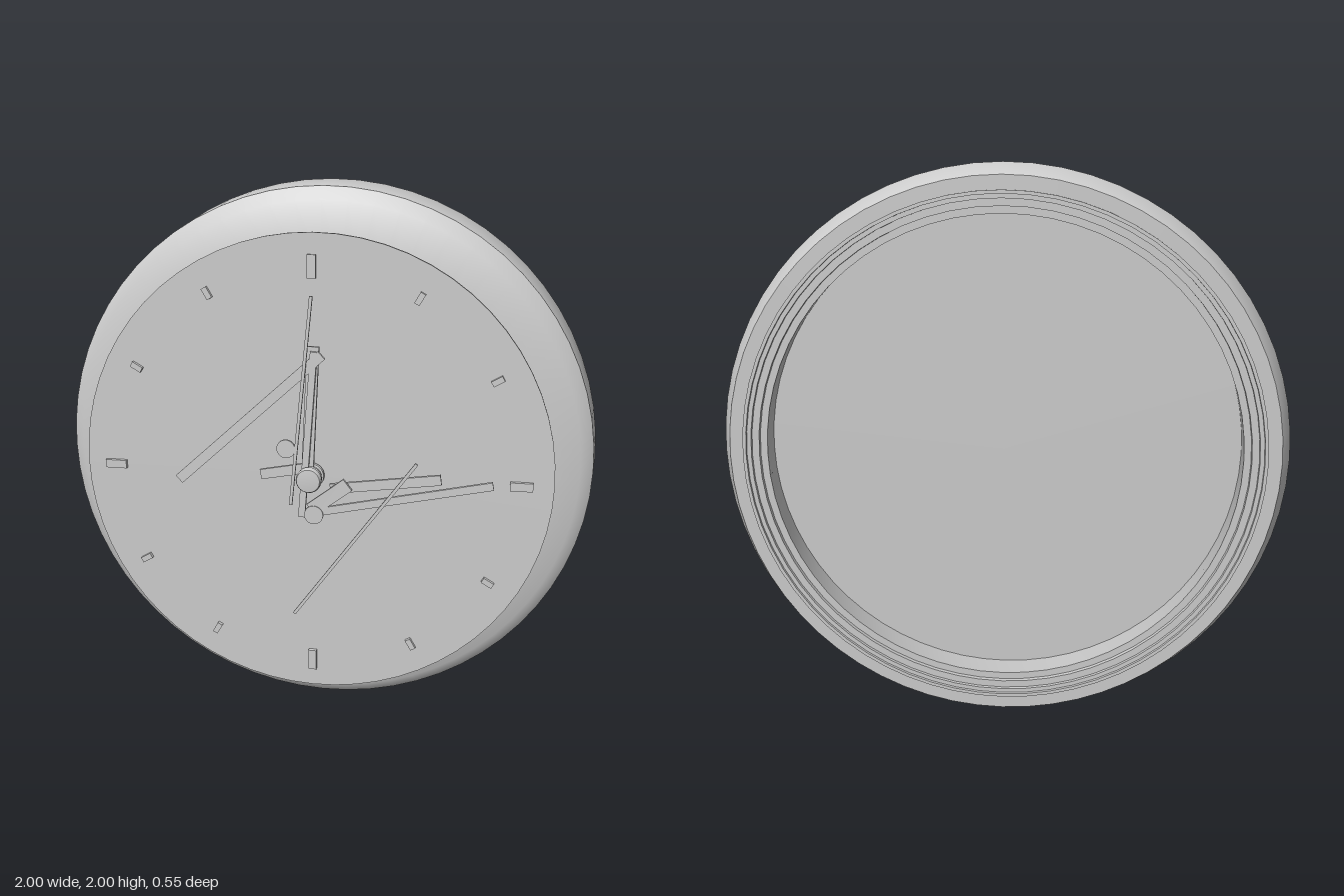
import * as THREE from 'three';
import { toCreasedNormals } from 'three/addons/utils/BufferGeometryUtils.js';

const CENTER = 1.0; // height of the clock's axis

export function createModel() {
  const clock = new THREE.Group();
  clock.name = 'wallClock';
  const grey = new THREE.MeshStandardMaterial({ color: 0xcccccc });
  grey.name = 'grey';

  const add = (name, geometry, x = 0, y = 0, z = 0, angle = 0) => {
    const mesh = new THREE.Mesh(geometry, grey);
    mesh.name = name;
    mesh.position.set(x, CENTER + y, z);
    mesh.rotation.z = angle;
    clock.add(mesh);
  };

  // Turned part: profile of [radius, z], revolved about the z axis
  const turned = (profile, segments, crease) => {
    const g = new THREE.LatheGeometry(profile.map(([r, z]) => new THREE.Vector2(r, z)), segments);
    g.rotateX(Math.PI / 2);
    return toCreasedNormals(g, crease);
  };
  const disc = (r, depth, segments) =>
    new THREE.CylinderGeometry(r, r, depth, segments).rotateX(Math.PI / 2);

  // Case: shallow recess at the back with a stepped lip, closed at the front
  add('case', turned([
    [0, -0.12], [0.845, -0.12], [0.835, -0.235], [0.86, -0.235], [0.86, -0.252],
    [0.885, -0.252], [0.885, -0.265], [0.9, -0.265], [0.9, -0.276], [0.912, -0.276],
    [0.912, -0.266], [0.96, -0.266], [1.0, -0.19], [0.982, -0.02],
    [0.935, 0.02], [0.72, 0.022], [0, 0.022],
  ], 64, 0.72));

  // Dial, floating in front of the case
  add('dial', disc(0.841, 0.014, 64), 0, 0, 0.183);

  // Hour marks, longer at the quarters
  for (let i = 0; i < 12; i++) {
    const a = (i * Math.PI) / 6;
    const size = i % 3 === 0 ? [0.03, 0.078] : [0.02, 0.042];
    add('hourMark', new THREE.BoxGeometry(...size, 0.014),
      Math.sin(a) * 0.73, Math.cos(a) * 0.73, 0.199, -a);
  }

  // Flat bar between two points of the dial plane (heights from the ground)
  const bar = (name, [x1, y1], [x2, y2], width, z, depth = 0.012) => {
    const length = Math.hypot(x2 - x1, y2 - y1);
    add(name, new THREE.BoxGeometry(length, width, depth),
      (x1 + x2) / 2, (y1 + y2) / 2 - CENTER, z, Math.atan2(y2 - y1, x2 - x1));
  };

  // Hour hand pieces
  bar('hourHand', [0.01, 1.465], [-0.012, 1.0], 0.042, 0.222);
  bar('hourHand', [0.457, 1.015], [0.07, 0.96], 0.036, 0.22);
  bar('hourHandTail', [-0.18, 1.0], [0, 1.035], 0.036, 0.222);

  // Minute hand pieces
  bar('minuteHand', [-0.477, 0.97], [0.042, 1.44], 0.036, 0.24);
  bar('minuteHand', [0.02, 0.875], [0.635, 1.01], 0.028, 0.238);
  bar('minuteHand', [0.015, 1.45], [-0.03, 0.855], 0.024, 0.238);
  bar('minuteHandTail', [0.005, 0.885], [0.135, 0.985], 0.05, 0.241);
  add('minuteHandDisc', disc(0.034, 0.012, 20), 0.015, 0.867 - CENTER, 0.244);

  // Second hand pieces
  bar('secondHand', [0.01, 1.64], [-0.065, 0.905], 0.011, 0.26, 0.008);
  bar('secondHand', [0.375, 1.08], [-0.055, 0.485], 0.011, 0.26, 0.008);
  add('secondHandDisc', disc(0.033, 0.008, 20), -0.08, 1.11 - CENTER, 0.26);

  // Hub: stacked collars and a rounded cap
  add('hub', turned([
    [0, 0.19], [0.04, 0.19], [0.045, 0.198], [0.045, 0.214], [0.038, 0.216], [0.038, 0.23],
    [0.042, 0.232], [0.042, 0.25], [0.045, 0.252], [0.045, 0.266], [0.041, 0.274], [0, 0.278],
  ], 24, 0.9));

  return clock;
}
